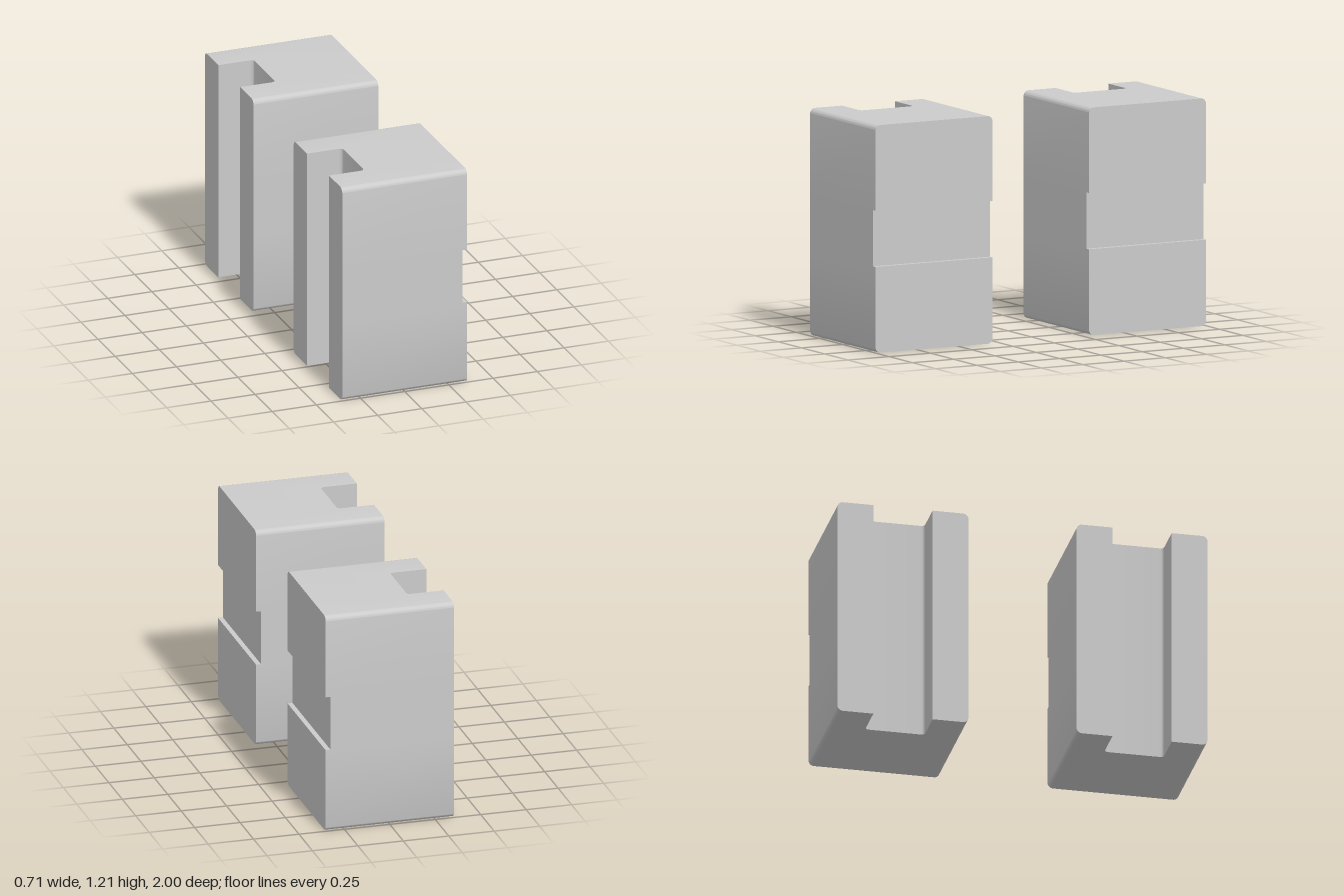
import * as THREE from 'three';
import { toCreasedNormals } from 'three/addons/utils/BufferGeometryUtils.js';

const H = 1.214, X = 0.353, Z = 0.354;      // block height, half width, half depth
const R = 0.03, STEPS = 14;                 // rounded long edges
const SLOT_X = -0.153, SLOT_Z = 0.16, SLOT_R = 0.02;
const GROOVE_X = 0.326, GROOVE_LOW = 0.459, GROOVE_HIGH = 0.759;

// Horizontal outline with the slot cut into the -x side, as [x, z]
function outline(xMax, halfZ) {
  const pts = [[xMax, halfZ], [xMax, -halfZ], [-X, -halfZ], [-X, -SLOT_Z]];
  for (const side of [-1, 1]) {
    for (let i = 0; i <= 8; i++) {
      const t = (side < 0 ? -Math.PI / 2 : 0) + (i / 8) * Math.PI / 2;
      pts.push([
        SLOT_X - SLOT_R + SLOT_R * Math.cos(t),
        side * (SLOT_Z - SLOT_R) + SLOT_R * Math.sin(t),
      ]);
    }
  }
  pts.push([-X, SLOT_Z], [-X, halfZ]);
  return pts;
}

function blockGeometry() {
  // Levels from bottom to top: [y, xMax, halfZ]
  const round = [];
  for (let i = 0; i <= STEPS; i++) {
    const t = (i / STEPS) * Math.PI / 2;
    round.push([R - R * Math.cos(t), X, Z - R + R * Math.sin(t)]);
  }
  const levels = [
    ...round,
    [GROOVE_LOW, X, Z], [GROOVE_LOW, GROOVE_X, Z],
    [GROOVE_HIGH, GROOVE_X, Z], [GROOVE_HIGH, X, Z],
    ...round.map(([y, x, z]) => [H - y, x, z]).reverse(),
  ];
  const rings = levels.map(([y, x, z]) =>
    outline(x, z).map(([px, pz]) => new THREE.Vector3(px, y, pz)));

  const pos = [];
  const tri = (a, b, c) => {
    if (new THREE.Triangle(a, b, c).getArea() < 1e-9) return;
    for (const p of [a, b, c]) pos.push(p.x, p.y, p.z);
  };

  // Side walls
  for (let k = 0; k < rings.length - 1; k++) {
    const lo = rings[k], hi = rings[k + 1], n = lo.length;
    for (let i = 0; i < n; i++) {
      const j = (i + 1) % n;
      tri(lo[i], lo[j], hi[j]);
      tri(lo[i], hi[j], hi[i]);
    }
  }

  // Bottom and top faces
  const bottom = rings[0], top = rings[rings.length - 1];
  const flat = top.map((p) => new THREE.Vector2(p.x, -p.z));
  for (const [a, b, c] of THREE.ShapeUtils.triangulateShape(flat, [])) {
    tri(top[a], top[b], top[c]);
    tri(bottom[a], bottom[c], bottom[b]);
  }

  const geo = new THREE.BufferGeometry();
  geo.setAttribute('position', new THREE.Float32BufferAttribute(pos, 3));
  return toCreasedNormals(geo, 0.4);
}

export function createModel() {
  const model = new THREE.Group();
  model.name = 'slottedBlocks';
  const geo = blockGeometry();
  const material = new THREE.MeshStandardMaterial({ color: 0xcccccc });

  // Two equal blocks, one behind the other
  for (const [name, z] of [['frontBlock', 1 - Z], ['backBlock', Z - 1]]) {
    const block = new THREE.Mesh(geo, material);
    block.name = name;
    block.position.z = z;
    model.add(block);
  }
  return model;
}
